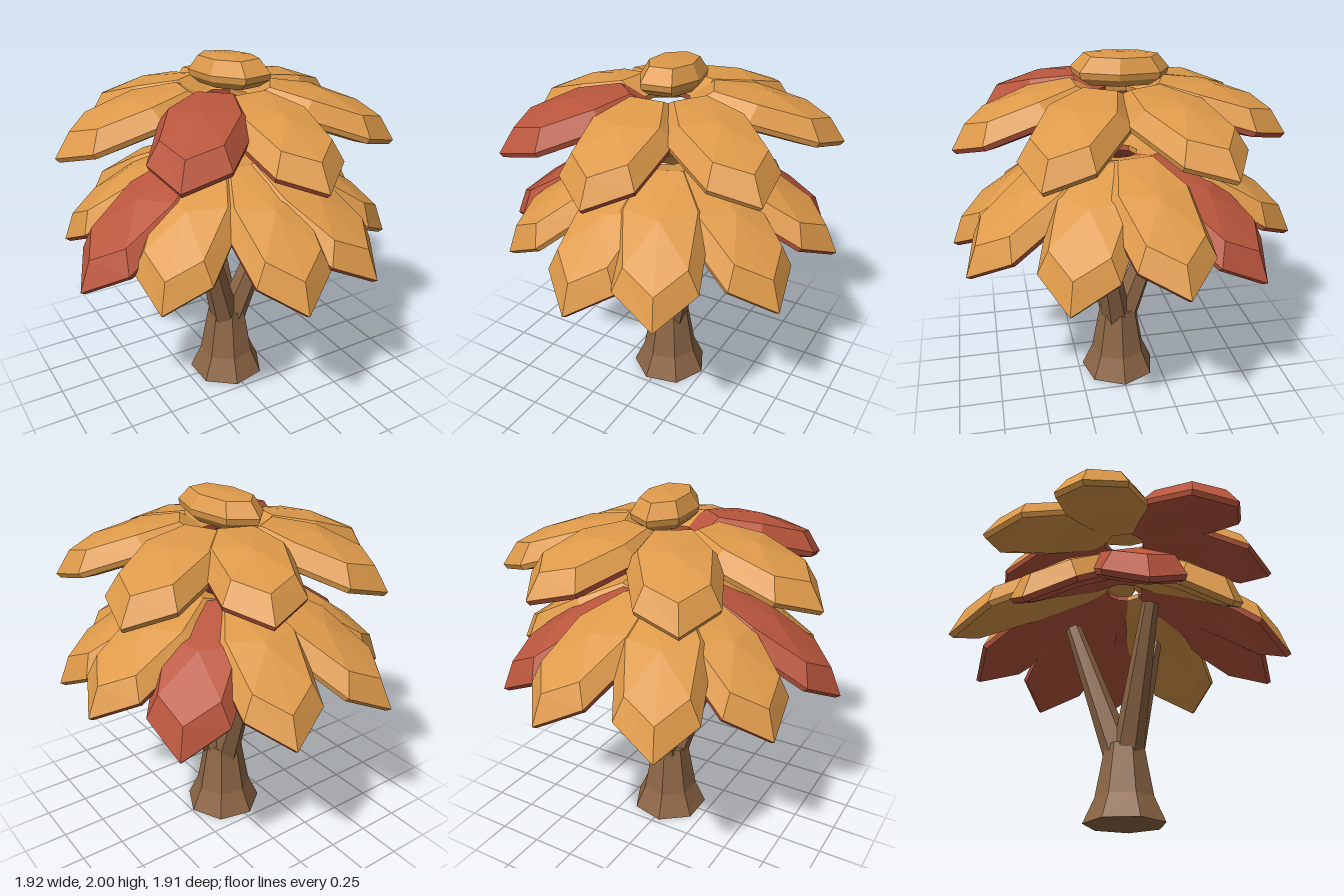
import * as THREE from 'three';

const material = (name, color) => {
  const m = new THREE.MeshStandardMaterial({ color, flatShading: true });
  m.name = name;
  return m;
};

// Rings of a leaf clump from top to bottom: [scale, height]; the third is the widest
const RINGS = [[0, 0.088], [0.74, 0.075], [1, 0], [0.97, -0.032], [0.74, -0.07], [0, -0.075]];
const SIDES = 7;

// Seven-sided clump pointing along +x, arched so its ends and flanks droop.
// Group 0 is the upper side, group 1 the thin rim and the underside.
function clumpGeometry(halfLength, halfWidth, arch) {
  const point = (ring, i) => {
    const [scale, h] = RINGS[ring];
    const a = (i / SIDES) * Math.PI * 2;
    const u = Math.cos(a) * scale;
    const v = Math.sign(Math.sin(a)) * Math.abs(Math.sin(a)) ** 0.8 * scale;
    const y = h + arch * (1 - 2 * u * u - 0.7 * v * v);
    return [u * halfLength, y, v * halfWidth];
  };
  const positions = [];
  let split = 0;
  for (let r = 0; r < RINGS.length - 1; r++) {
    if (r === 2) split = positions.length / 3;
    for (let i = 0; i < SIDES; i++) {
      const j = (i + 1) % SIDES;
      const a1 = point(r, i), b1 = point(r, j);
      const a0 = point(r + 1, i), b0 = point(r + 1, j);
      if (r > 0) positions.push(...a0, ...a1, ...b1);
      if (r < RINGS.length - 2) positions.push(...a0, ...b1, ...b0);
    }
  }
  const g = new THREE.BufferGeometry();
  g.setAttribute('position', new THREE.Float32BufferAttribute(positions, 3));
  g.addGroup(0, split, 0);
  g.addGroup(split, positions.length / 3 - split, 1);
  g.computeVertexNormals();
  return g;
}

export function createModel() {
  const model = new THREE.Group();
  const bark = material('bark brown', 0x8d6646);
  const orange = material('leaf orange', 0xde9a4a);
  const red = material('leaf red', 0xba563d);
  const palette = { oo: [orange, orange], or: [orange, red], rr: [red, red] };

  // Flared trunk
  const trunk = new THREE.Group();
  trunk.name = 'trunk';
  const addTrunk = (name, rTop, rBottom, y0, y1) => {
    const g = new THREE.CylinderGeometry(rTop, rBottom, y1 - y0, SIDES);
    g.rotateY(Math.PI / 2);
    const m = new THREE.Mesh(g, bark);
    m.name = name;
    m.position.set(0.015, (y0 + y1) / 2, 0);
    trunk.add(m);
  };
  addTrunk('trunkFoot', 0.165, 0.228, 0, 0.14);
  addTrunk('trunkShaft', 0.112, 0.165, 0.14, 0.43);
  model.add(trunk);

  // Three spreading branches
  const up = new THREE.Vector3(0, 1, 0);
  [[-0.26, 0.17], [0.28, 0.16], [0.02, -0.31]].forEach(([x, z]) => {
    const from = new THREE.Vector3(0.015 + x * 0.08, 0.38, z * 0.1);
    const to = new THREE.Vector3(x, 1.18, z);
    const dir = to.clone().sub(from);
    const branch = new THREE.Mesh(new THREE.CylinderGeometry(0.047, 0.088, dir.length(), 6), bark);
    branch.name = 'branch';
    branch.position.copy(from).lerp(to, 0.5);
    branch.quaternion.setFromUnitVectors(up, dir.normalize());
    model.add(branch);
  });

  // One tier of leaf clumps: [azimuth in degrees from +x to +z, tip radius, tip height, colours]
  const addTier = (name, innerR, innerY, halfWidth, arch, clumps) => {
    const tier = new THREE.Group();
    tier.name = name;
    clumps.forEach(([deg, tipR, tipY, key]) => {
      const run = tipR - innerR, drop = innerY - tipY;
      const g = clumpGeometry(Math.hypot(run, drop) / 1.9, halfWidth, arch);
      const clump = new THREE.Mesh(g, palette[key]);
      clump.name = 'leafClump';
      const a = THREE.MathUtils.degToRad(deg);
      const tilt = Math.atan2(drop, run);
      const r = (innerR + tipR) / 2 - run * 0.025 + arch * Math.sin(tilt);
      const y = (innerY + tipY) / 2 + drop * 0.025 + arch * Math.cos(tilt);
      clump.position.set(Math.cos(a) * r, y, Math.sin(a) * r);
      clump.rotation.set(0, -a, -tilt, 'YXZ');
      tier.add(clump);
    });
    model.add(tier);
  };

  addTier('lowerCanopy', 0.1, 1.43, 0.26, 0.04, [
    [94, 0.95, 0.92, 'or'], [65, 0.97, 0.95, 'or'], [25, 0.95, 0.93, 'oo'],
    [-10, 0.97, 1.01, 'or'], [-42, 0.97, 0.92, 'rr'], [-75, 0.99, 0.97, 'or'],
    [-115, 1.01, 0.95, 'oo'], [-153, 0.93, 0.93, 'or'], [168, 0.98, 0.93, 'rr'],
    [139, 0.92, 0.93, 'oo'],
  ]);
  addTier('upperCanopy', 0.11, 1.77, 0.25, 0.035, [
    [87, 0.9, 1.52, 'or'], [33, 0.92, 1.54, 'oo'], [-25, 0.95, 1.56, 'oo'],
    [-69, 0.9, 1.59, 'or'], [-122, 0.9, 1.55, 'oo'], [188, 0.93, 1.54, 'oo'],
    [132, 0.91, 1.58, 'rr'],
  ]);

  // Small clump crowning the tree
  const crown = new THREE.Mesh(clumpGeometry(0.28, 0.165, 0), palette.oo);
  crown.name = 'crownClump';
  crown.position.set(0.025, 1.908, -0.01);
  crown.rotation.set(0, Math.PI / 2 + 0.15, -0.05, 'YXZ');
  model.add(crown);

  return model;
}
